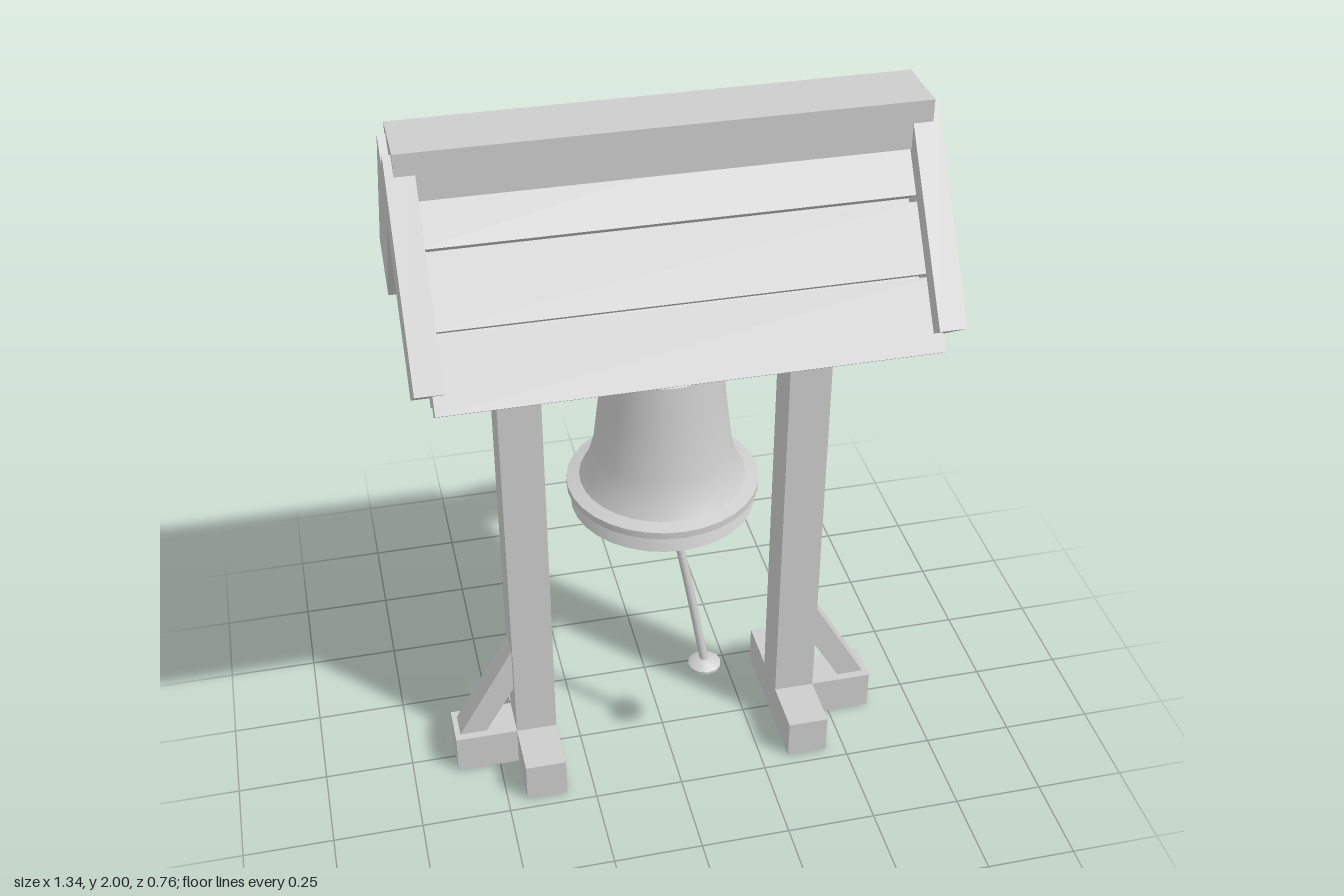
import * as THREE from 'three';
import { toCreasedNormals } from 'three/addons/utils/BufferGeometryUtils.js';

export function createModel() {
  const model = new THREE.Group();
  const grey = new THREE.MeshStandardMaterial({ color: 0xcccccc });
  grey.name = 'pale grey';

  function add(name, geometry) {
    const mesh = new THREE.Mesh(geometry, grey);
    mesh.name = name;
    model.add(mesh);
    return mesh;
  }

  // Box given by its lower and upper limits
  function box(name, x0, x1, y0, y1, z0, z1) {
    const g = new THREE.BoxGeometry(Math.abs(x1 - x0), y1 - y0, z1 - z0);
    return add(name, g.translate((x0 + x1) / 2, (y0 + y1) / 2, (z0 + z1) / 2));
  }

  function extrude(points, depth) {
    const shape = new THREE.Shape(points.map(([a, b]) => new THREE.Vector2(a, b)));
    return new THREE.ExtrudeGeometry(shape, { depth, bevelEnabled: false }).translate(0, 0, -depth / 2);
  }

  // Profile in (z, y), extruded along x
  function alongX(name, points, x0, x1) {
    const g = extrude(points, x1 - x0).rotateY(-Math.PI / 2);
    return add(name, g.translate((x0 + x1) / 2, 0, 0));
  }

  // Posts, feet and braces, mirrored
  for (const s of [1, -1]) {
    box('post', s * 0.33, s * 0.445, 0, 1.46, -0.06, 0.06);
    box('crossFoot', s * 0.33, s * 0.445, 0, 0.12, -0.215, 0.215);
    box('outerFoot', s * 0.44, s * 0.622, 0, 0.12, -0.06, 0.06);
    add('brace', extrude([
      [s * 0.44, 0.415], [s * 0.607, 0.12], [s * 0.53, 0.12], [s * 0.44, 0.275],
    ], 0.075));
  }

  // Crossbeam carrying the bell
  box('crossbeam', -0.53, 0.53, 1.45, 1.565, -0.07, 0.09);

  // Gable boards and the filled triangles behind them
  const half = [[0.058, 1.985], [0.38, 1.53], [0.248, 1.436]];
  const mirrored = half.map(([z, y]) => [-z, y]).reverse();
  const gable = [[0, 1.935], ...half, [0, 1.787], ...mirrored];
  for (const s of [1, -1]) {
    const c = s * 0.635;
    alongX('gableBoard', gable, c - 0.035, c + 0.035);
    alongX('roofTie', [[-0.145, 1.58], [0.145, 1.58], [0, 1.787]], s * 0.5 - 0.04, s * 0.5 + 0.04);
  }

  // Roof boards: u runs down the slope, v stands square to it
  const slope = (u, v, s) => [s * (0.578 * u + 0.816 * v), -0.816 * u + 0.578 * v];
  const under = [[-1.454, 1.031], [-1.005, 1.031], [-1.005, 1.09], [-1.539, 1.09]];
  const upper = [
    [[-1.539, 1.09], [-1.368, 1.09], [-1.368, 1.1475], [-1.619, 1.1475]],
    [[-1.352, 1.09], [-1.175, 1.09], [-1.175, 1.1475], [-1.352, 1.1475]],
    [[-1.167, 1.09], [-0.98, 1.09], [-0.98, 1.1475], [-1.167, 1.1475]],
  ];
  for (const s of [1, -1]) {
    alongX('underBoard', under.map(([u, v]) => slope(u, v, s)), -0.625, 0.625);
    for (const b of upper) alongX('roofBoard', b.map(([u, v]) => slope(u, v, s)), -0.625, 0.625);
  }
  box('ridgeCap', -0.65, 0.65, 1.875, 2, -0.088, 0.088);

  // Turned parts
  function lathe(name, points, sides) {
    const g = new THREE.LatheGeometry(points.map(([r, y]) => new THREE.Vector2(r, y)), sides);
    return add(name, toCreasedNormals(g, 0.6));
  }
  lathe('bell', [
    [0, 0.86], [0.25, 0.86], [0.235, 0.905], [0.26, 0.91], [0.26, 0.93], [0.225, 0.94],
    [0.205, 0.975], [0.186, 1.04], [0.167, 1.2], [0.157, 1.31], [0.115, 1.36], [0.07, 1.388], [0, 1.4],
  ], 32);
  lathe('bellHanger', [[0, 1.39], [0.03, 1.39], [0.035, 1.405], [0.055, 1.425], [0.03, 1.45], [0, 1.45]], 12);

  // Pull rope and its knob
  const path = new THREE.CatmullRomCurve3([
    new THREE.Vector3(0.003, 0.9, 0.03),
    new THREE.Vector3(0.052, 0.62, 0.078),
    new THREE.Vector3(0.095, 0.34, 0.12),
  ]);
  add('rope', new THREE.TubeGeometry(path, 8, 0.012, 8));
  lathe('ropeKnob', [
    [0, -0.02], [0.026, -0.02], [0.047, -0.004], [0.047, 0.004], [0.026, 0.018], [0, 0.02],
  ], 12).position.set(0.095, 0.33, 0.12);

  return model;
}
